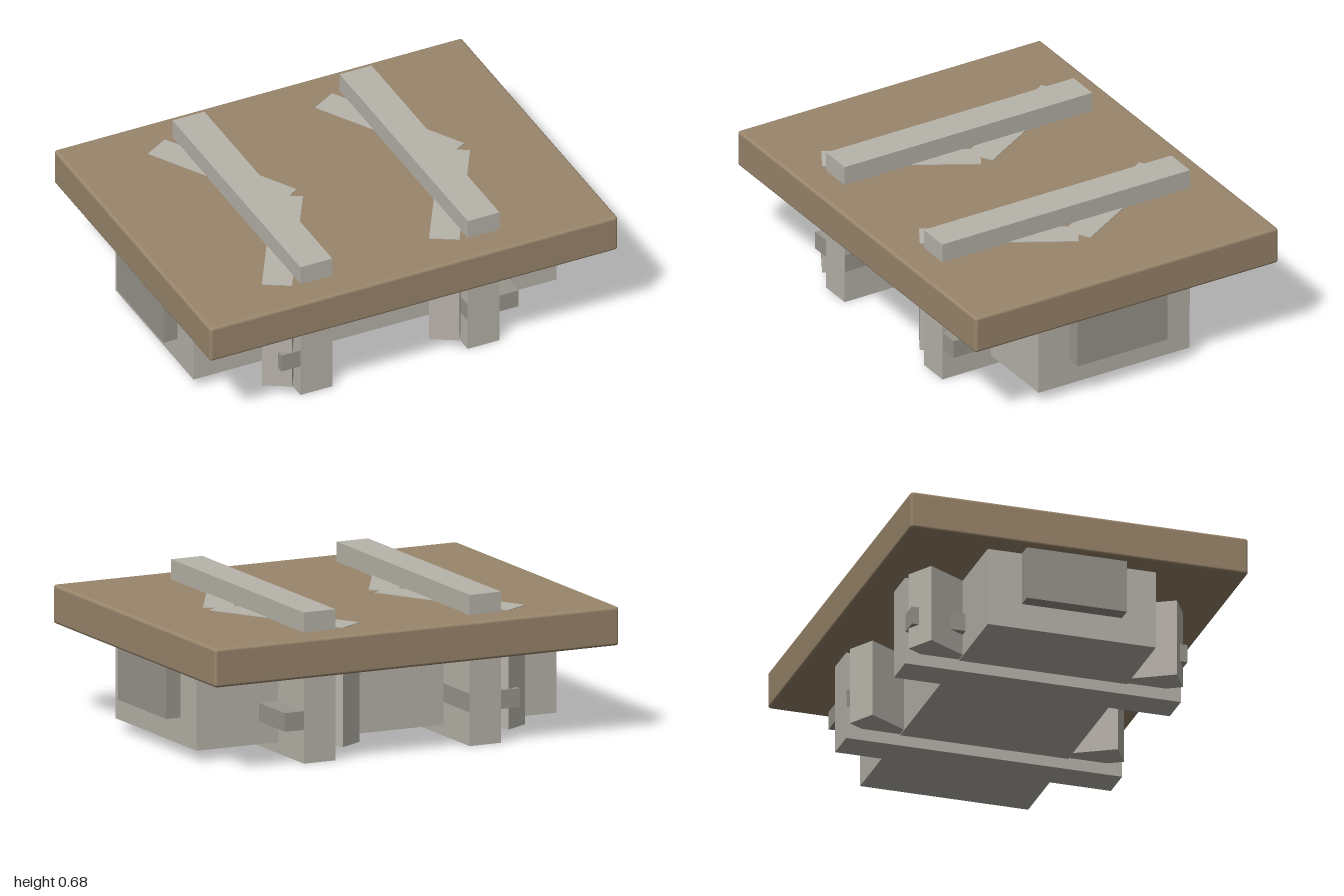
import * as THREE from 'three';
import { RoundedBoxGeometry } from 'three/addons/geometries/RoundedBoxGeometry.js';

const light = new THREE.MeshStandardMaterial({ color: 0xb8b4ab });
const dark = new THREE.MeshStandardMaterial({ color: 0x99968d });
const wood = new THREE.MeshStandardMaterial({ color: 0x9a866c });

// Box given by its lower and upper limits on each axis
function box(name, [x0, x1], [y0, y1], [z0, z1], material) {
  const mesh = new THREE.Mesh(new THREE.BoxGeometry(x1 - x0, y1 - y0, z1 - z0), material);
  mesh.position.set((x0 + x1) / 2, (y0 + y1) / 2, (z0 + z1) / 2);
  mesh.name = name;
  return mesh;
}

export function createModel() {
  const model = new THREE.Group();
  model.name = 'table';

  // Top slab with softened edges
  const slab = new THREE.Mesh(new RoundedBoxGeometry(2, 0.175, 1.566, 3, 0.014), wood);
  slab.position.y = 0.5025;
  slab.name = 'topSlab';
  model.add(slab);

  // Central body under the slab
  model.add(box('body', [-0.89, 0.89], [0.05, 0.45], [-0.39, 0.39], light));

  for (const side of [-1, 1]) {
    const x = side * 0.41;

    // Panel on each end of the body
    const panel = box('endPanel', [-0.05, 0.05], [0.17, 0.45], [-0.232, 0.232], dark);
    panel.position.x = side * 0.91;
    model.add(panel);

    // Upright plank passing through the slab
    model.add(box('crossPlank', [x - 0.078, x + 0.078], [0, 0.68], [-0.64, 0.64], light));

    // Rail along the plank, reaching outward
    const rail = box('rail', [-0.125, 0.125], [0.152, 0.236], [-0.639, 0.639], dark);
    rail.position.x = side * 0.456;
    model.add(rail);

    // Pair of slanted braces forming an arrow shape
    for (const end of [-1, 1]) {
      const brace = box('slantedBrace', [-0.067, 0.067], [0.055, 0.593], [-0.35, 0.35], light);
      brace.position.x = x;
      brace.position.z = end * 0.3;
      brace.rotation.y = -end * Math.PI / 6;
      model.add(brace);
    }
  }
  return model;
}
